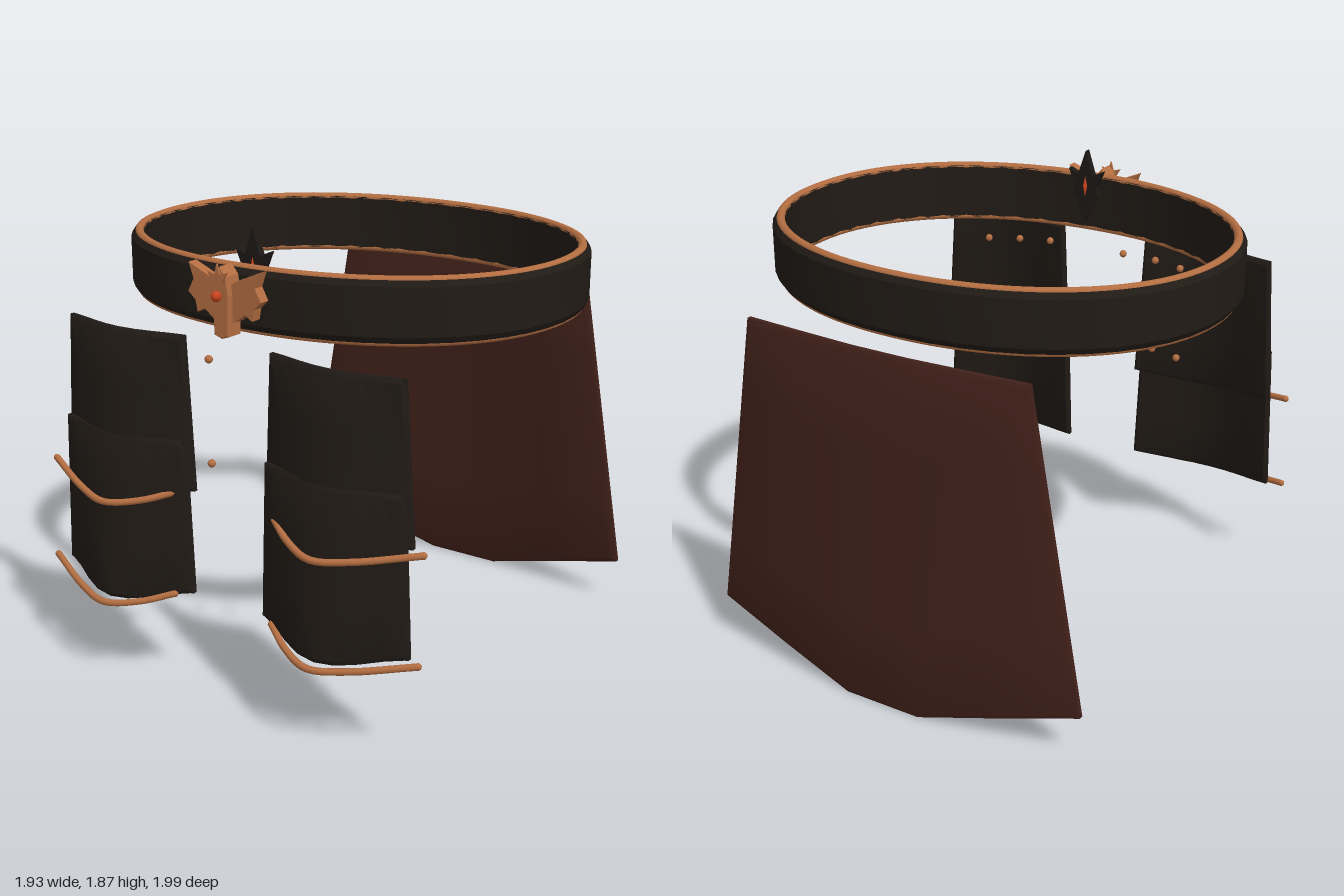
import * as THREE from 'three';
import { toCreasedNormals } from 'three/addons/utils/BufferGeometryUtils.js';

const mat = (color) => new THREE.MeshStandardMaterial({ color, side: THREE.DoubleSide });
const leather = mat(0x211b16), copper = mat(0xb56f42), cloth = mat(0x42211a);
const dark = mat(0x1c1816), ember = mat(0xc8441c);
const lerp = THREE.MathUtils.lerp;

function add(parent, name, geometry, material, x = 0, y = 0, z = 0) {
  const mesh = new THREE.Mesh(geometry, material);
  mesh.name = name;
  mesh.position.set(x, y, z);
  parent.add(mesh);
  return mesh;
}

function build(pos, idx) {
  const g = new THREE.BufferGeometry();
  g.setAttribute('position', new THREE.Float32BufferAttribute(pos, 3));
  g.setIndex(idx);
  return toCreasedNormals(g, 0.5);
}

// Closed curved plate: at(u, v) gives its middle surface, thinned along the border
function plate(us, vs, thickness, at) {
  const pos = [], idx = [], nu = us.length, nv = vs.length, n = nu * nv;
  const quad = (a, b, c, d) => idx.push(a, b, c, a, c, d);
  for (const side of [1, -1]) {
    vs.forEach((v, j) => us.forEach((u, i) => {
      const border = i === 0 || j === 0 || i === nu - 1 || j === nv - 1;
      const [x, y, z] = at(u, v);
      pos.push(x, y, z + side * thickness * (border ? 0.25 : 0.5));
    }));
  }
  for (let j = 0; j < nv - 1; j++) {
    for (let i = 0; i < nu - 1; i++) {
      const a = j * nu + i, b = a + 1, c = b + nu, d = a + nu;
      quad(a, d, c, b);
      quad(n + a, n + b, n + c, n + d);
    }
  }
  const edge = (a, b) => quad(a, b, n + b, n + a);
  for (let i = 0; i < nu - 1; i++) {
    edge(i, i + 1);
    edge((nv - 1) * nu + i + 1, (nv - 1) * nu + i);
  }
  for (let j = 0; j < nv - 1; j++) {
    edge((j + 1) * nu, j * nu);
    edge(j * nu + nu - 1, (j + 1) * nu + nu - 1);
  }
  return build(pos, idx);
}

// Slightly squared oval that the belt follows
function oval(angle, inset, y) {
  const c = Math.cos(angle), s = Math.sin(angle), p = 2 / 2.12;
  return new THREE.Vector3(
    Math.sign(c) * Math.abs(c) ** p * (0.965 - inset), y,
    Math.sign(s) * Math.abs(s) ** p * (0.787 - inset) - 0.058);
}

function beltBand() {
  const profile = [[0, 1.53], [0, 1.715], [0.015, 1.737], [0.05, 1.737], [0.05, 1.505], [0.015, 1.505]];
  const pos = [], idx = [], seg = 48, m = profile.length;
  for (let i = 0; i < seg; i++) {
    for (const [inset, y] of profile) pos.push(...oval(i / seg * Math.PI * 2, inset, y).toArray());
    for (let k = 0; k < m; k++) {
      const a = i * m + k, b = i * m + (k + 1) % m;
      const d = ((i + 1) % seg) * m + k, c = ((i + 1) % seg) * m + (k + 1) % m;
      idx.push(a, b, c, a, c, d);
    }
  }
  return build(pos, idx);
}

function beltRim(y) {
  const pts = Array.from({ length: 48 }, (_, i) => oval(i / 48 * Math.PI * 2, 0.034, y));
  return new THREE.TubeGeometry(new THREE.CatmullRomCurve3(pts, true), 96, 0.018, 8, true);
}

// Flat outline given as its right half, top to bottom, mirrored and extruded
function mirroredPlate(half, depth, bevel = 0) {
  const left = half.filter(([x]) => x > 0).reverse().map(([x, y]) => [-x, y]);
  const shape = new THREE.Shape([...half, ...left].map(([x, y]) => new THREE.Vector2(x, y)));
  const g = new THREE.ExtrudeGeometry(shape, {
    depth, bevelEnabled: bevel > 0, bevelSize: bevel, bevelThickness: bevel, bevelSegments: 1 });
  return g.translate(0, 0, -depth / 2);
}

export function createModel() {
  const model = new THREE.Group();
  model.name = 'armoredBelt';

  // Belt
  add(model, 'beltBand', beltBand(), leather);
  add(model, 'beltTopRim', beltRim(1.733), copper);
  add(model, 'beltBottomRim', beltRim(1.507), copper);

  // Flared back cloth with an angled hem
  const backU = [-1, -0.97, -0.6, -0.2, 0.2, 0.6, 0.97, 1];
  add(model, 'backCloth', plate(backU, [0, 0.015, 0.25, 0.5, 0.75, 0.985, 1], 0.036, (u, v) => {
    const out = Math.max(0, (Math.abs(u) - 0.2) / 0.8);
    const y = lerp(1.48, lerp(0.005, 0.2, out), v);
    const centre = lerp(-0.935, -0.98, v);
    return [u * lerp(0.62, 0.842, v), y, lerp(centre, -0.903, out ** 1.15)];
  }), cloth);

  // Hanging thigh plates, two overlapping on each side, with copper trims
  const plateU = [-1, -0.96, -0.75, -0.5, -0.25, 0, 0.25, 0.5, 0.75, 0.96, 1];
  const plateV = [0, 0.025, 0.33, 0.66, 0.975, 1];
  const tiers = [
    { name: 'upper', y: [1.46, 0.84], inner: [0.205, 0.175], outer: [0.79, 0.83], edge: 0.78, mid: [0.832, 0.888] },
    { name: 'lower', y: [1.045, 0.42], inner: [0.195, 0.172], outer: [0.81, 0.835], edge: 0.807, mid: [0.872, 0.932] },
  ];
  for (const side of [1, -1]) {
    const thigh = new THREE.Group();
    thigh.name = side > 0 ? 'leftThighGuard' : 'rightThighGuard';
    model.add(thigh);
    tiers.forEach((t, k) => {
      const g = plate(plateU, plateV, 0.036, (u, v) => {
        const bulge = Math.cos(u * Math.PI / 2 * 0.9999) ** 1.4;
        return [
          side * 0.5 * (lerp(...t.inner, v) + lerp(...t.outer, v)) + u * 0.5 * (lerp(...t.outer, v) - lerp(...t.inner, v)),
          lerp(t.y[0], t.y[1] - 0.05 * bulge, v),
          lerp(t.edge, lerp(...t.mid, v), bulge)];
      });
      add(thigh, t.name + 'ThighPlate', g, leather);
      const y = k ? 0 : 0.42, z = k ? 0 : -0.025;
      const path = [[0.24, 0.415, 0.85], [0.36, 0.378, 0.925], [0.5, 0.36, 0.98], [0.65, 0.375, 0.942], [0.89, 0.422, 0.838]]
        .map((p) => new THREE.Vector3(side * p[0], p[1] + y, p[2] + z));
      const trim = new THREE.TubeGeometry(new THREE.CatmullRomCurve3(path), 24, 0.014, 8);
      add(thigh, t.name + 'Trim', trim, copper);
      const [a, b] = [path[0], path[4]];
      for (const end of [a, b]) add(thigh, 'trimEnd', new THREE.SphereGeometry(0.014, 8, 6), copper, end.x, end.y, end.z);
    });
  }

  // Rivet rows
  const rivet = new THREE.SphereGeometry(0.016, 10, 8);
  for (const y of [1.38, 0.965]) {
    for (const [x, z] of [[-0.405, 0.715], [-0.265, 0.757], [-0.103, 0.765], [0.265, 0.757], [0.4, 0.715], [0.525, 0.652]]) {
      add(model, 'rivet', rivet, copper, x, y, z);
    }
  }

  // Winged buckle
  const buckle = new THREE.Group();
  buckle.name = 'buckle';
  model.add(buckle);
  const wings = [[0, 1.69], [0.035, 1.69], [0.07, 1.71], [0.165, 1.75], [0.143, 1.69], [0.17, 1.64],
    [0.137, 1.61], [0.128, 1.565], [0.095, 1.585], [0.05, 1.55], [0, 1.54]];
  add(buckle, 'buckleWings', mirroredPlate(wings, 0.045), copper, 0, 0, 0.768);
  const spine = [[0, 1.75], [0.025, 1.72], [0.035, 1.65], [0.03, 1.5], [0, 1.49]];
  add(buckle, 'buckleSpine', mirroredPlate(spine, 0.065, 0.005), copper, 0, 0, 0.775);
  const spike = [[0, 1.77], [0.012, 1.73], [0.045, 1.74], [0.022, 1.70], [0, 1.69]];
  add(buckle, 'buckleSpike', mirroredPlate(spike, 0.008), copper, 0, 0, 0.825);
  add(buckle, 'buckleStud', new THREE.SphereGeometry(0.02, 12, 8), ember, 0, 1.65, 0.835);

  // Spiked crest behind the buckle with a glowing diamond on both faces
  const crest = new THREE.Group();
  crest.name = 'crest';
  model.add(crest);
  const blade = [[0, 1.87], [0.02, 1.81], [0.035, 1.765], [0.08, 1.785], [0.052, 1.72], [0.06, 1.67],
    [0.035, 1.65], [0.02, 1.6], [0, 1.56]];
  add(crest, 'crestBlade', mirroredPlate(blade, 0.03), dark, 0, 0, 0.605);
  const gem = add(crest, 'crestGem', new THREE.OctahedronGeometry(1).toNonIndexed(), ember, 0, 1.715, 0.605);
  gem.scale.set(0.024, 0.1, 0.027);

  return model;
}
